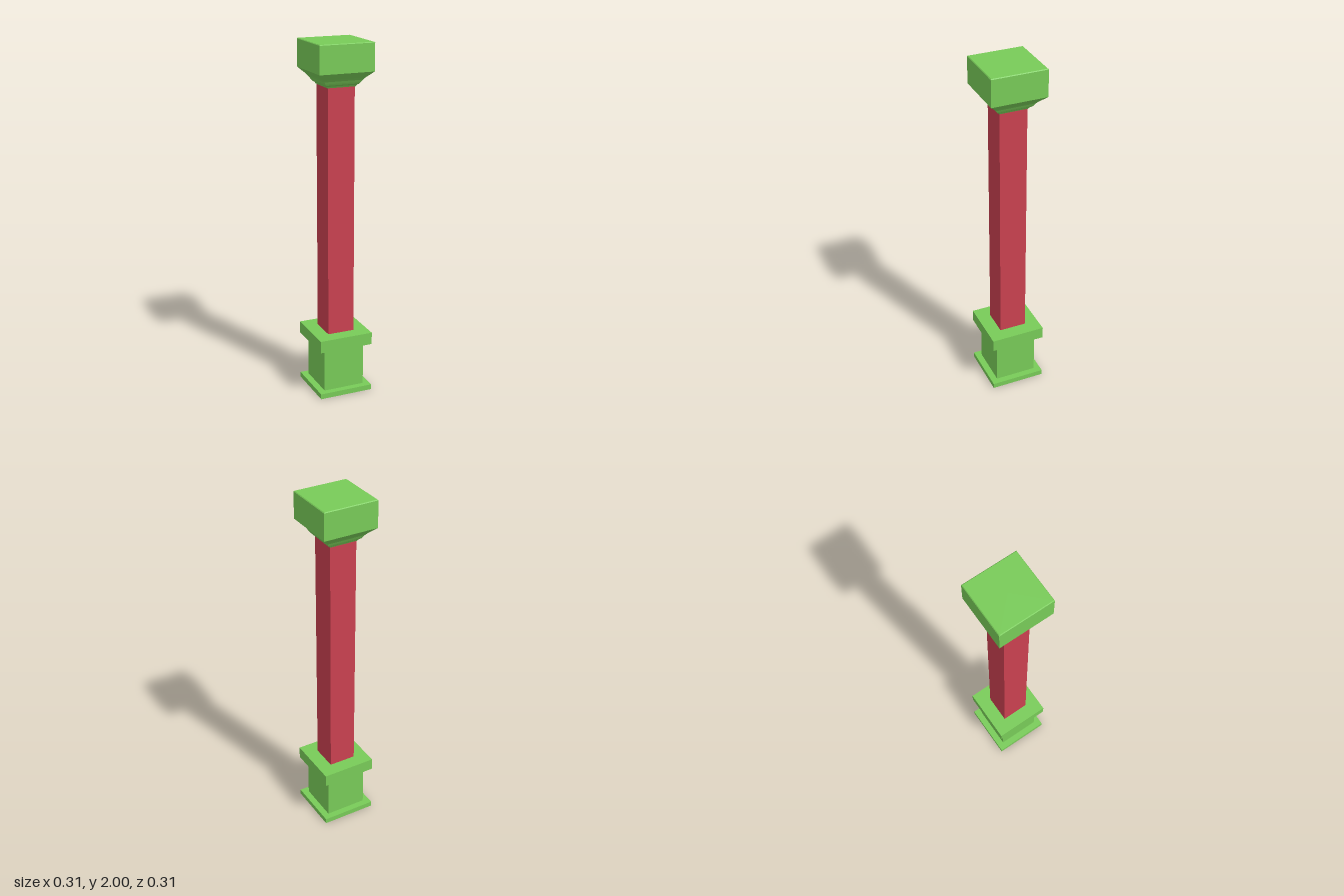
import * as THREE from 'three';

const green = new THREE.MeshStandardMaterial({ color: 0x78cb58, flatShading: true });
const red = new THREE.MeshStandardMaterial({ color: 0xca4150, flatShading: true });

// Square solid turned from a profile of [half width, height], closed at both ends
function squareTurned(name, profile, material) {
  const closed = [[0, profile[0][1]], ...profile, [0, profile[profile.length - 1][1]]];
  const points = closed.map(([half, y]) => new THREE.Vector2(half * Math.SQRT2, y));
  const geometry = new THREE.LatheGeometry(points, 4, Math.PI / 4).toNonIndexed();
  geometry.computeVertexNormals();
  const mesh = new THREE.Mesh(geometry, material);
  mesh.name = name;
  return mesh;
}

export function createModel() {
  const column = new THREE.Group();
  column.name = 'column';

  // Pedestal: thin foot, square block and projecting slab
  const pedestal = new THREE.Group();
  pedestal.name = 'pedestal';
  pedestal.add(
    squareTurned('foot', [[0.157, 0], [0.157, 0.03]], green),
    squareTurned('pedestalBlock', [[0.12, 0.03], [0.12, 0.285]], green),
    squareTurned('pedestalSlab', [[0.157, 0.285], [0.157, 0.355]], green),
  );

  // Plain square shaft
  const shaft = squareTurned('shaft', [[0.078, 0.355], [0.078, 1.762]], red);

  // Capital: flared moulding under a block with a finely bevelled top
  const capital = new THREE.Group();
  capital.name = 'capital';
  capital.add(
    squareTurned('capitalMoulding', [
      [0.08, 1.76], [0.086, 1.769], [0.097, 1.777], [0.103, 1.786],
      [0.11, 1.798], [0.121, 1.811], [0.139, 1.828], [0.157, 1.845],
    ], green),
    squareTurned('capitalBlock', [[0.157, 1.845], [0.157, 1.996], [0.153, 2]], green),
  );

  column.add(pedestal, shaft, capital);
  return column;
}
